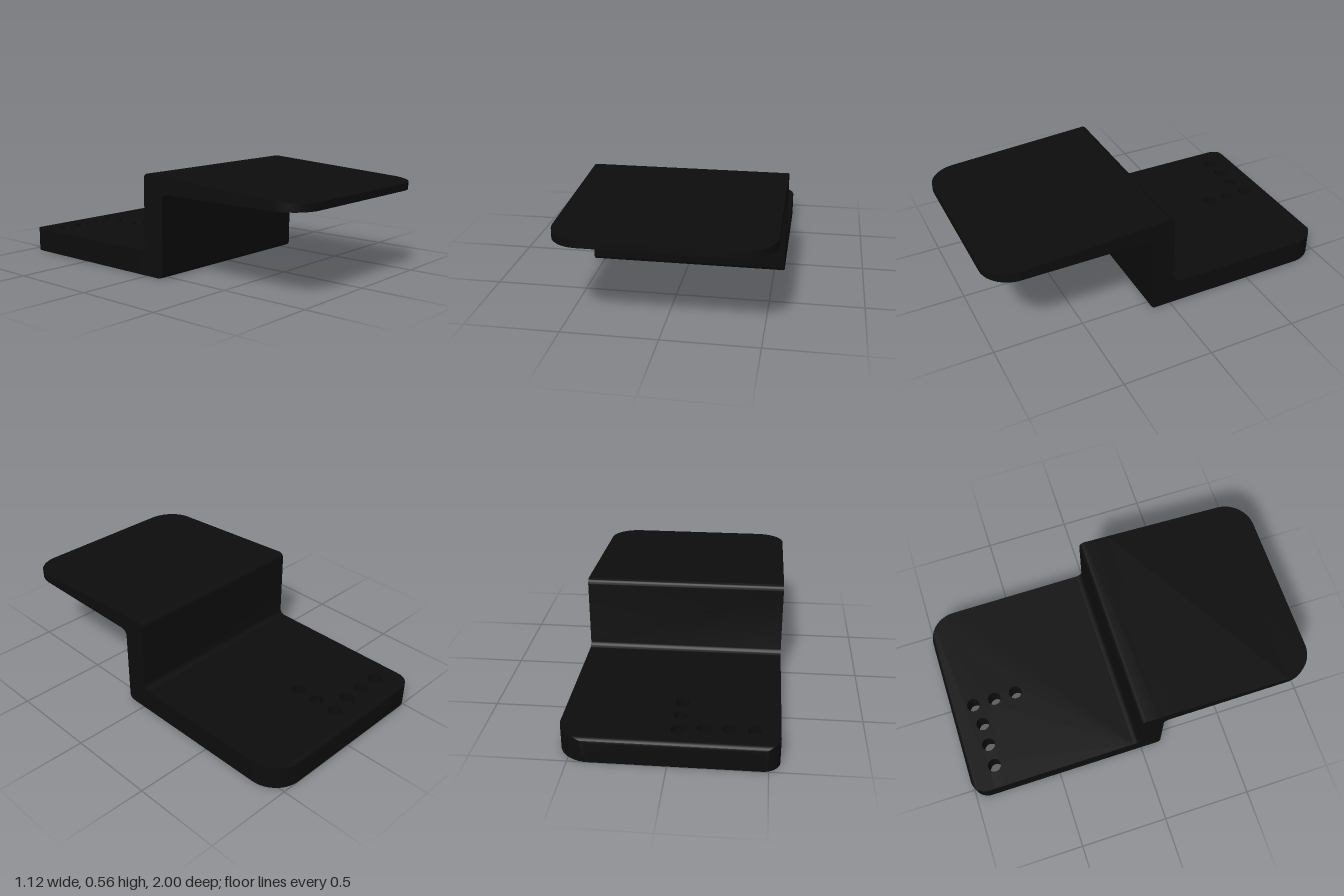
import * as THREE from 'three';
import { mergeGeometries, toCreasedNormals } from 'three/addons/utils/BufferGeometryUtils.js';

const HALF = 0.558;          // half width
const PLATE = 0.134;         // lower plate thickness
const BACK = -0.015, FRONT = 0.118; // riser faces
const TOP = 0.558, UNDER = 0.457, TIP = 0.497; // upper plate heights
const LIP = 0.03, FILLET = 0.035, CORNER = 0.165, SMALL = 0.09;
const HOLE = 0.037;
const HOLES = [[-0.427, -0.845], [-0.3, -0.845], [-0.172, -0.845], [-0.045, -0.867], [-0.045, -0.74], [-0.045, -0.613]];

// x of the side edge at depth z, following the rounded plan corners
function sideX(z, sign) {
  const r = z < 0 && sign < 0 ? SMALL : CORNER;
  const d = Math.min(r, 1 - Math.abs(z));
  return sign * (HALF - r + Math.sqrt(Math.max(0, r * r - (r - d) ** 2)));
}

// Height of the sloping upper surface
const slope = (z) => TOP + (TIP - TOP) * (z - BACK - LIP) / (1 - BACK - LIP);

// Points along a quarter arc, as [z, y]
function arc(cz, cy, r, from, to, n = 8) {
  return Array.from({ length: n + 1 }, (_, i) => {
    const a = (from + (to - from) * i / n) * Math.PI / 2;
    return [cz + r * Math.cos(a), cy + r * Math.sin(a)];
  });
}

// Loft of rectangular sections [z, bottom, top], running from back to front
function loft(stations, capBack, capFront) {
  const pos = [];
  const rings = stations.map(([z, b, t]) => {
    const l = sideX(z, -1), r = sideX(z, 1);
    return [[l, b, z], [r, b, z], [r, t, z], [l, t, z]];
  });
  const quad = (a, b, c, d) => pos.push(...a, ...b, ...c, ...a, ...c, ...d);
  for (let k = 0; k + 1 < rings.length; k++) {
    for (let i = 0; i < 4; i++) {
      const j = (i + 1) % 4;
      quad(rings[k][i], rings[k][j], rings[k + 1][j], rings[k + 1][i]);
    }
  }
  if (capBack) quad(...[...rings[0]].reverse());
  if (capFront) quad(...rings[rings.length - 1]);
  const g = new THREE.BufferGeometry();
  g.setAttribute('position', new THREE.Float32BufferAttribute(pos, 3));
  return g;
}

// Lower plate with its drilled holes and rounded back lip
function lowerPlateGeometry() {
  const zs = [-1 + LIP];
  for (let i = 1; i <= 24; i++) {
    const z = -1 + CORNER * (1 - Math.cos(i / 24 * Math.PI / 2));
    if (z > zs[0] + 0.002) zs.push(z);
  }
  zs.push(BACK - FILLET);
  const right = zs.map((z) => new THREE.Vector2(sideX(z, 1), -z));
  const left = zs.map((z) => new THREE.Vector2(sideX(z, -1), -z));
  const shape = new THREE.Shape([...left, ...right.reverse()]);
  for (const [x, z] of HOLES) {
    const hole = new THREE.Path();
    hole.absarc(x, -z, HOLE, 0, Math.PI * 2, true);
    shape.holes.push(hole);
  }
  const slab = new THREE.ExtrudeGeometry(shape, { depth: PLATE, bevelEnabled: false, curveSegments: 16 });
  slab.rotateX(-Math.PI / 2);
  slab.deleteAttribute('uv');
  slab.deleteAttribute('normal');
  const lip = loft(arc(-1 + LIP, PLATE - LIP, LIP, 2, 1).map(([z, y]) => [z, 0, y]), true, false);
  return mergeGeometries([slab, lip]);
}

// Riser with rounded bends at both ends
function riserGeometry() {
  const s = [];
  for (const [z, y] of arc(BACK - FILLET, PLATE + FILLET, FILLET, -1, 0)) s.push([z, 0, y]);
  for (const [z, y] of arc(BACK + LIP, TOP - LIP, LIP, 2, 1)) s.push([z, 0, y]);
  for (const [z, y] of arc(FRONT - LIP, LIP, LIP, -1, 0)) s.push([z, y, slope(z)]);
  for (const [z, y] of arc(FRONT + FILLET, UNDER - FILLET, FILLET, 2, 1)) s.push([z, y, slope(z)]);
  return loft(s, false, false);
}

// Tapered upper plate with rounded front corners
function upperPlateGeometry() {
  const zs = [FRONT + FILLET];
  for (let i = 0; i <= 16; i++) zs.push(1 - CORNER + CORNER * Math.sin(i / 16 * Math.PI / 2));
  return loft(zs.map((z) => [z, UNDER, slope(z)]), false, true);
}

export function createModel() {
  const group = new THREE.Group();
  group.name = 'steppedBracket';
  const black = new THREE.MeshStandardMaterial({ color: 0x0d0d0d });
  black.name = 'black';
  const parts = { lowerPlate: lowerPlateGeometry(), riser: riserGeometry(), upperPlate: upperPlateGeometry() };
  for (const [name, geometry] of Object.entries(parts)) {
    const mesh = new THREE.Mesh(toCreasedNormals(geometry, 0.6), black);
    mesh.name = name;
    group.add(mesh);
  }
  return group;
}
